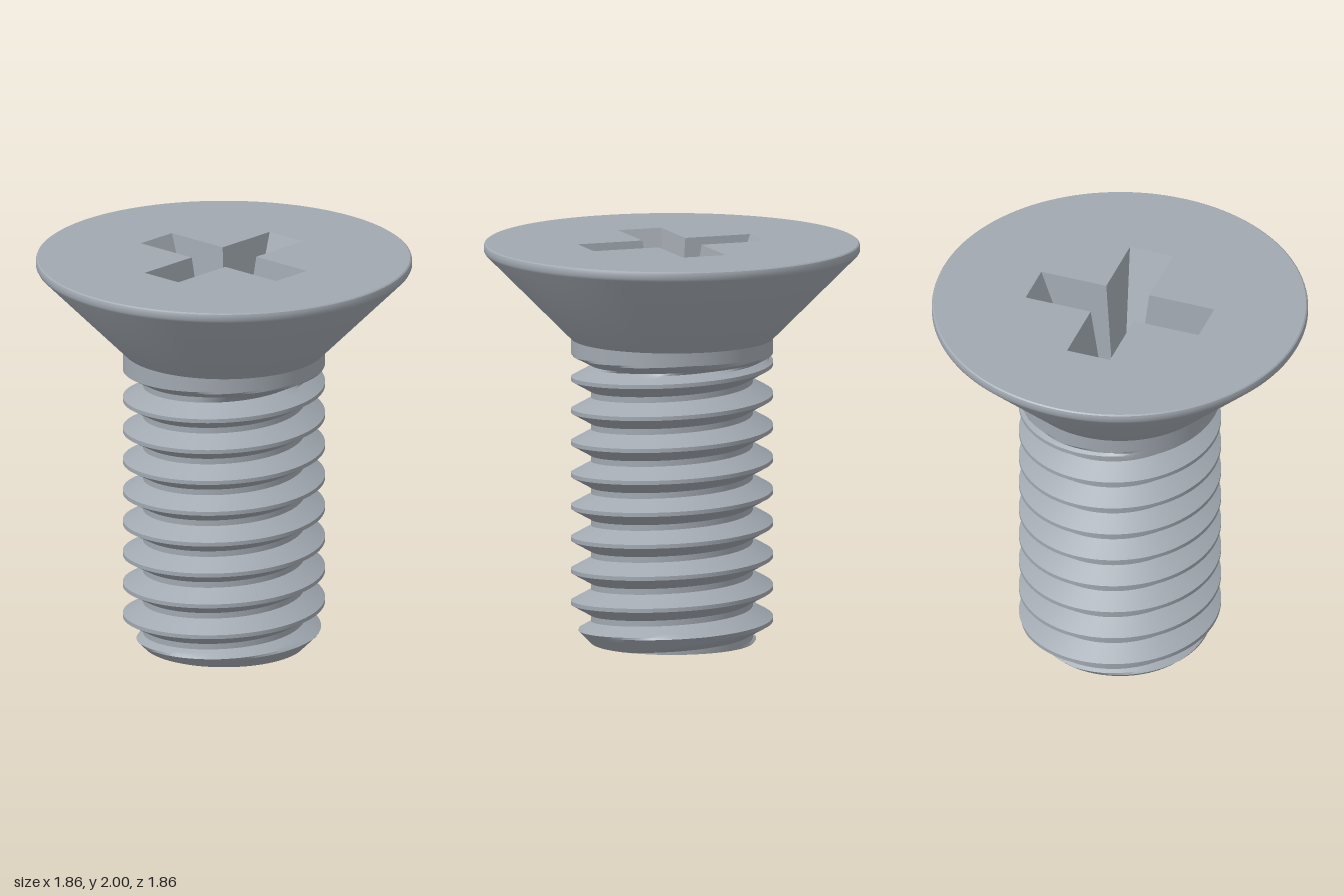
import * as THREE from 'three';
import { toCreasedNormals } from 'three/addons/utils/BufferGeometryUtils.js';

const PITCH = 0.16, MAJOR = 0.5, MINOR = 0.4;
const NECK_Y = 1.46, TOP_Y = 2, RIM = 0.93, CAP = 0.92;

const steel = new THREE.MeshStandardMaterial({ color: 0xa1a8b0 });
steel.name = 'steel grey';

function addMesh(group, name, geometry) {
  const mesh = new THREE.Mesh(geometry, steel);
  mesh.name = name;
  group.add(mesh);
  return mesh;
}

function fromArrays(positions, index, crease) {
  const g = new THREE.BufferGeometry();
  g.setAttribute('position', new THREE.Float32BufferAttribute(positions, 3));
  g.setIndex(index);
  return toCreasedNormals(g, crease);
}

// One thread turn as [fraction of pitch, radius]: crest, flank, root, flank
function threadProfile() {
  const crest = 0.0625, root = 0.41, steps = 5, points = [[-crest, MAJOR]];
  for (let i = 0; i <= steps; i++) {
    const f = i / steps;
    points.push([crest + (root - crest) * f, MAJOR + (MINOR - MAJOR) * f]);
  }
  for (let i = 0; i < steps; i++) {
    const f = i / steps;
    points.push([1 - root + (root - crest) * f, MINOR + (MAJOR - MINOR) * f]);
  }
  return points;
}

// Right-handed helical surface, chamfered at the tip and run out at the neck
function threadGeometry() {
  const segments = 96, rows = [];
  for (let k = -3; k <= 10; k++) {
    for (const [t, r] of threadProfile()) rows.push([k + t, r]);
  }
  const positions = [], index = [], n = rows.length;
  for (let i = 0; i <= segments; i++) {
    const a = (i / segments) * Math.PI * 2;
    for (const [turn, radius] of rows) {
      const y = THREE.MathUtils.clamp(0.09 + PITCH * (turn + i / segments), 0, NECK_Y);
      const chamfered = Math.min(radius, MINOR + y);
      const runout = Math.min(MAJOR, MINOR + (y - 1.395) * 2);
      const r = Math.max(chamfered, runout);
      positions.push(r * Math.cos(a), y, -r * Math.sin(a));
    }
  }
  for (let i = 0; i < segments; i++) {
    for (let j = 0; j < n - 1; j++) {
      const p = i * n + j, q = p + n;
      index.push(p, q, q + 1, p, q + 1, p + 1);
    }
  }
  return fromArrays(positions, index, 0.6);
}

// Outline of a plus sign, counter-clockwise
function crossPoints(length, half) {
  const points = [];
  for (let k = 0; k < 4; k++) {
    for (const [x, y] of [[length, -half], [length, half], [half, half]]) {
      points.push(new THREE.Vector2(x, y).rotateAround(new THREE.Vector2(), k * Math.PI / 2));
    }
  }
  return points;
}

// Tapered inward-facing walls between the two cross outlines
function recessWalls(top, bottom, topY, bottomY) {
  const positions = [], index = [], n = top.length;
  for (const p of bottom) positions.push(p.x, bottomY, -p.y);
  for (const p of top) positions.push(p.x, topY, -p.y);
  for (let i = 0; i < n; i++) {
    const j = (i + 1) % n;
    index.push(i, n + j, j, i, n + i, n + j);
  }
  return fromArrays(positions, index, 0.3);
}

export function createModel() {
  const screw = new THREE.Group();
  screw.name = 'countersunkScrew';

  // Shank
  addMesh(screw, 'thread', threadGeometry());
  const tip = addMesh(screw, 'tipFace', new THREE.CircleGeometry(MINOR, 96));
  tip.rotation.x = Math.PI / 2;

  // Neck, cone and softened rim
  const profile = [
    [MAJOR, NECK_Y], [MAJOR, 1.525], [RIM - 0.006, 1.951], [RIM, 1.963],
    [RIM, 1.985], [RIM - 0.003, 1.995], [CAP, TOP_Y],
  ].map(([r, y]) => new THREE.Vector2(r, y));
  addMesh(screw, 'head', toCreasedNormals(new THREE.LatheGeometry(profile, 128), 0.65));

  // Flat top with the cross-shaped opening
  const outer = crossPoints(0.455, 0.113), inner = crossPoints(0.25, 0.062);
  const face = new THREE.Shape().absarc(0, 0, CAP, 0, Math.PI * 2, false);
  face.holes.push(new THREE.Path(outer));
  const top = addMesh(screw, 'headTop', new THREE.ShapeGeometry(face, 64));
  top.rotation.x = -Math.PI / 2;
  top.position.y = TOP_Y;

  // Drive recess
  const floorY = TOP_Y - 0.5;
  addMesh(screw, 'recessWalls', recessWalls(outer, inner, TOP_Y, floorY));
  const floor = addMesh(screw, 'recessFloor', new THREE.ShapeGeometry(new THREE.Shape(inner)));
  floor.rotation.x = -Math.PI / 2;
  floor.position.y = floorY;

  return screw;
}
